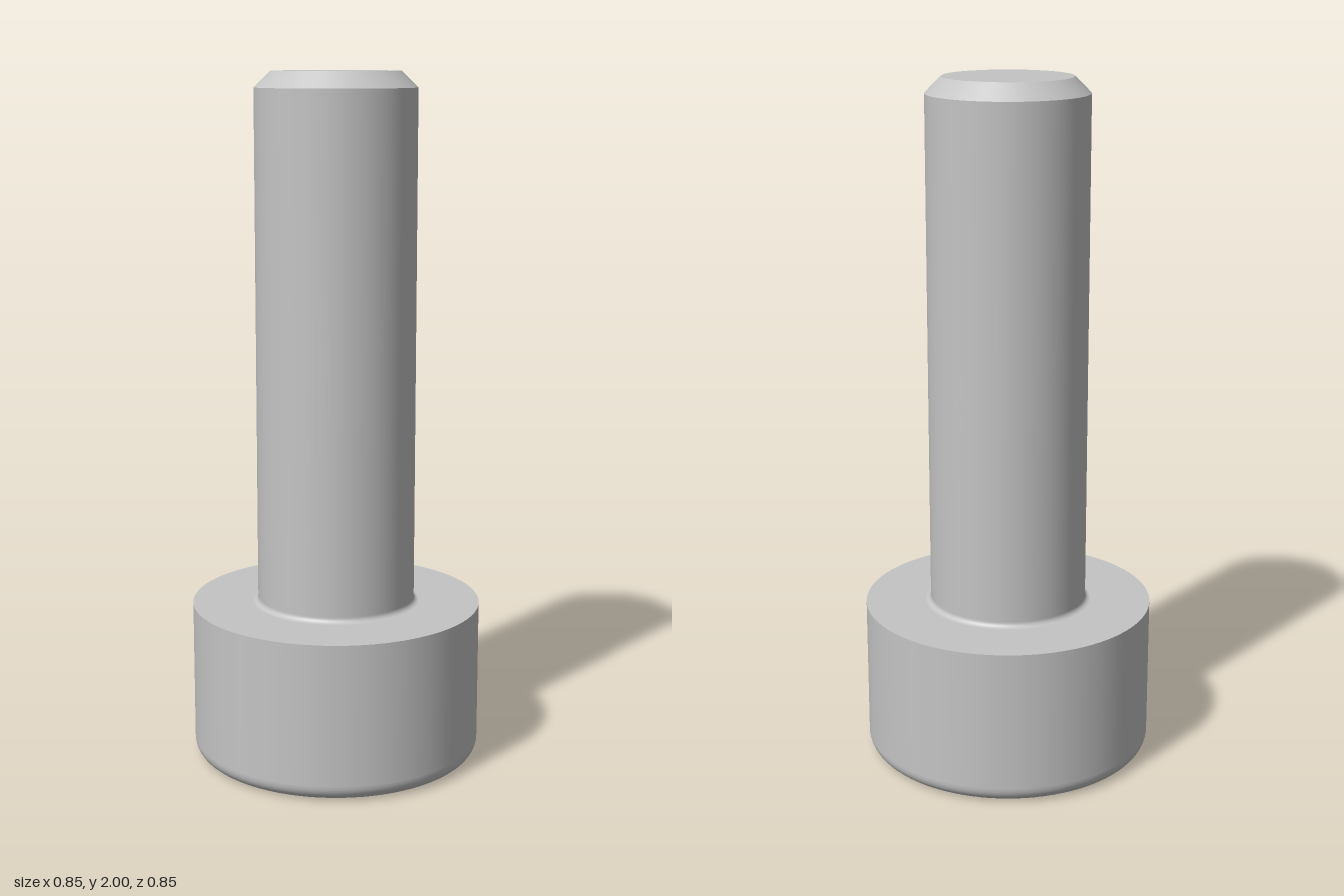
import * as THREE from 'three';

const SEG = 96;
const HEAD_R = 0.423, HEAD_H = 0.4615, SHANK_R = 0.2308;
const EDGE = 0.046, NECK = 0.0154;
const HEX_R = 0.222, HEX_DEPTH = 0.2, DRILL_R = HEX_R * Math.cos(Math.PI / 6);

export function createModel() {
  const steel = new THREE.MeshStandardMaterial({ color: 0xc4c4c4 });
  steel.name = 'steel grey';
  const group = new THREE.Group();
  group.name = 'socketHeadScrew';

  const add = (name, geometry) => {
    const mesh = new THREE.Mesh(geometry, steel);
    mesh.name = name;
    group.add(mesh);
  };
  // Each smooth band is its own lathe, so the edges between bands stay sharp
  const band = (name, points) =>
    add(name, new THREE.LatheGeometry(points.map(([r, y]) => new THREE.Vector2(r, y)), SEG));
  const arc = (cx, cy, r, from, to, n = 10) =>
    Array.from({ length: n + 1 }, (_, i) => {
      const a = from + (to - from) * i / n;
      return [cx + r * Math.cos(a), cy + r * Math.sin(a)];
    });
  // Flat face looking down at height y
  const downFace = (name, shape, y) => {
    const g = new THREE.ShapeGeometry(shape, SEG / 2);
    g.rotateX(Math.PI / 2).translate(0, y, 0);
    add(name, g);
  };
  const hexPoints = Array.from({ length: 6 }, (_, i) => {
    const a = i * Math.PI / 3;
    return new THREE.Vector2(HEX_R * Math.sin(a), HEX_R * Math.cos(a));
  });

  // Head: rounded lower edge running into the straight side, then the shoulder
  band('headSide', [
    ...arc(HEAD_R - EDGE, EDGE, EDGE, -Math.PI / 2, 0),
    [HEAD_R, EDGE + 0.002],
    [HEAD_R, HEAD_H],
  ]);
  band('headShoulder', [[HEAD_R, HEAD_H], [SHANK_R + NECK, HEAD_H]]);

  // Shank: small neck fillet, straight body, chamfered tip
  band('shank', [
    ...arc(SHANK_R + NECK, HEAD_H + NECK, NECK, Math.PI * 1.5, Math.PI, 8),
    [SHANK_R, HEAD_H + NECK + 0.002],
    [SHANK_R, 1.954],
  ]);
  band('tipChamfer', [[SHANK_R, 1.954], [0.184, 2]]);
  band('tipEnd', [[0.184, 2], [0, 2]]);

  // Head face with the hexagonal opening
  const face = new THREE.Shape().absarc(0, 0, HEAD_R - EDGE, 0, Math.PI * 2);
  face.holes.push(new THREE.Path(hexPoints));
  downFace('headFace', face, 0);

  // Socket walls, mirrored so that they face inward
  const walls = new THREE.CylinderGeometry(HEX_R, HEX_R, HEX_DEPTH, 6, 1, true)
    .translate(0, HEX_DEPTH / 2, 0).scale(-1, 1, 1).toNonIndexed();
  walls.computeVertexNormals();
  add('socketWalls', walls);

  // Socket floor with a conical drill point
  const floor = new THREE.Shape(hexPoints);
  floor.holes.push(new THREE.Path().absarc(0, 0, DRILL_R - 0.001, 0, Math.PI * 2));
  downFace('socketFloor', floor, HEX_DEPTH);
  band('socketDrillPoint', [[0, HEX_DEPTH + 0.11], [DRILL_R - 0.001, HEX_DEPTH]]);

  return group;
}
